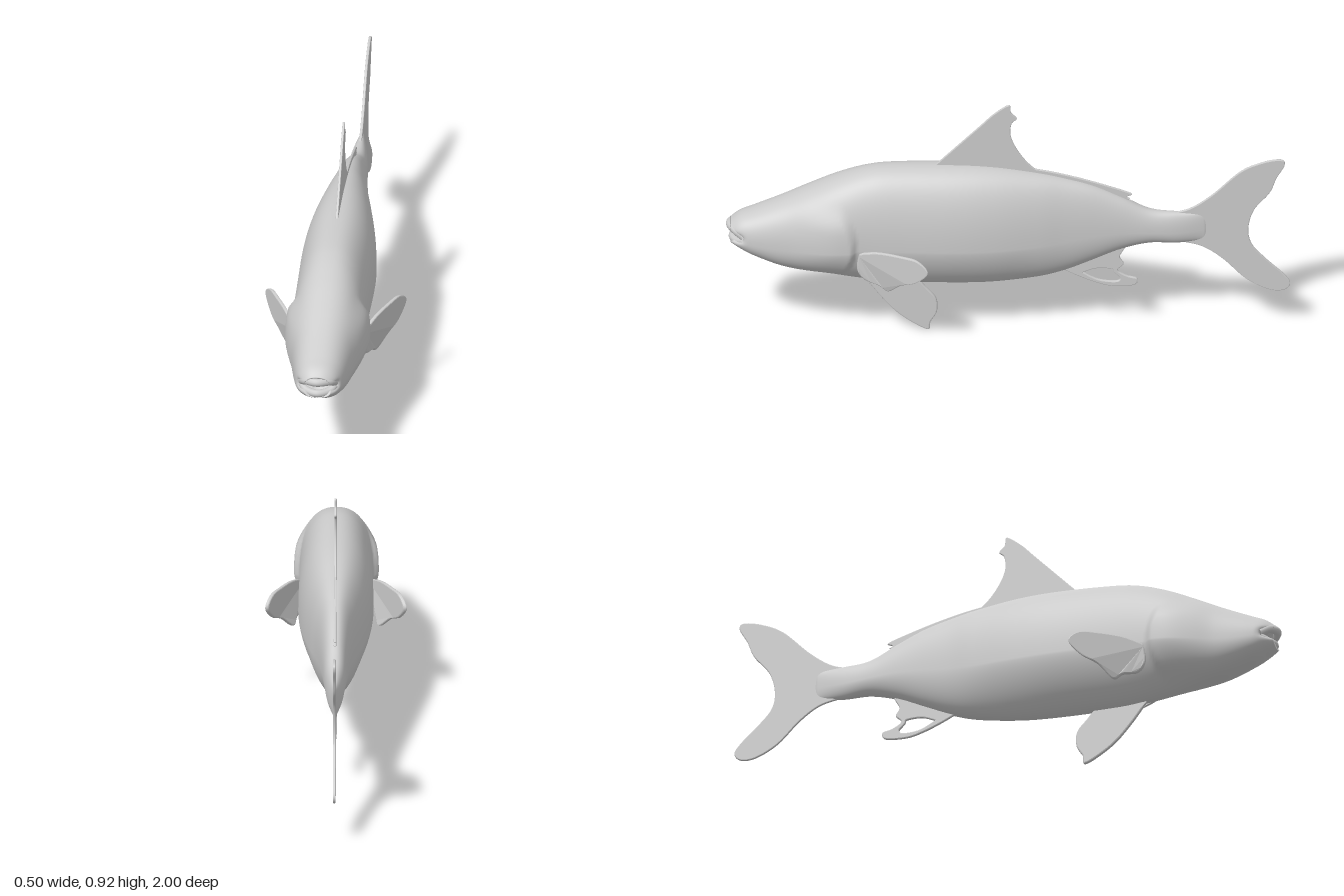
import * as THREE from 'three';

const material = new THREE.MeshStandardMaterial({ color: 0xcccccc, roughness: 0.8, side: THREE.DoubleSide });

function add(group, name, geometry) {
  const mesh = new THREE.Mesh(geometry, material);
  mesh.name = name;
  group.add(mesh);
  return mesh;
}

// Stations from nose to tail: z, top y, bottom y, half width
const STATIONS = [
  [0.985, 0.455, 0.375, 0.052], [0.95, 0.48, 0.353, 0.073], [0.9, 0.5, 0.325, 0.088],
  [0.8, 0.542, 0.283, 0.107], [0.7, 0.588, 0.257, 0.125], [0.6, 0.632, 0.235, 0.132],
  [0.5, 0.664, 0.217, 0.13], [0.4, 0.676, 0.206, 0.131], [0.2, 0.677, 0.2, 0.133],
  [0.05, 0.668, 0.203, 0.121], [-0.1, 0.645, 0.222, 0.095], [-0.2, 0.622, 0.25, 0.074],
  [-0.3, 0.592, 0.292, 0.058], [-0.4, 0.545, 0.335, 0.046], [-0.5, 0.494, 0.36, 0.037],
  [-0.6, 0.482, 0.358, 0.026], [-0.7, 0.475, 0.37, 0.005],
];

function bodyGeometry() {
  const path = (f) => new THREE.CatmullRomCurve3(STATIONS.map(f), false, 'catmullrom');
  const outline = path((s) => new THREE.Vector3(s[0], s[1], s[2]));
  const widths = path((s) => new THREE.Vector3(s[3], 0, 0));
  const rings = 170, sides = 72, positions = [], index = [];
  const smooth = THREE.MathUtils.smoothstep;
  const power = (v, n) => Math.sign(v) * Math.pow(Math.abs(v), 2 / n);

  // First and last rings collapse to close the ends
  for (let i = -1; i <= rings + 1; i++) {
    const t = THREE.MathUtils.clamp(i / rings, 0, 1);
    const { x: z0, y: top, z: bottom } = outline.getPoint(t);
    const w = widths.getPoint(t).x;
    const mid = bottom + 0.4 * (top - bottom);
    const size = i < 0 || i > rings ? 0 : 1;
    const keel = 1.6 + 0.6 * smooth(z0, 0.6, 0.85) + 0.4 * (1 - smooth(z0, -0.3, 0));
    for (let j = 0; j < sides; j++) {
      const a = (j / sides) * Math.PI * 2, s = Math.sin(a), c = Math.cos(a);
      const n = c >= 0 ? 2.3 : keel;
      let x = size * w * power(s, n);
      const y = mid + size * (c >= 0 ? top - mid : mid - bottom) * power(c, n);
      let z = i < 0 ? 0.93 : z0;
      // Gill cover: a raised plate with a sharp curved rear edge
      const edge = 0.545 + 2.5 * (y - 0.41) ** 2;
      const plate = smooth(z, edge - 0.01, edge + 0.012) * (1 - smooth(z, 0.6, 0.78))
        * smooth(y, 0.25, 0.31) * (1 - smooth(y, 0.48, 0.57));
      x += Math.sign(s) * 0.018 * plate * Math.abs(s);
      // Mouth: a notch between the jaws
      const notch = Math.exp(-(((y - 0.411) / 0.014) ** 2));
      x *= 1 - 0.22 * notch * smooth(z, 0.92, 0.97);
      if (i >= 0) z -= 0.045 * notch * smooth(z, 0.93, 0.985);
      positions.push(x, y, z);
    }
  }
  for (let i = 0; i < rings + 2; i++) {
    for (let j = 0; j < sides; j++) {
      const k = (j + 1) % sides;
      const a = i * sides + j, b = i * sides + k, c = a + sides, d = b + sides;
      index.push(a, b, c, b, d, c);
    }
  }
  const g = new THREE.BufferGeometry();
  g.setAttribute('position', new THREE.Float32BufferAttribute(positions, 3));
  g.setIndex(index);
  g.computeVertexNormals();
  return g;
}

// Thin plate from a smooth outline of [z, y] points
function finGeometry(points, thickness, hole) {
  const v = (list) => list.map((p) => new THREE.Vector2(p[0], p[1]));
  const trace = (path, list) => {
    const p = v(list);
    path.moveTo(p[0].x, p[0].y);
    path.splineThru([...p.slice(1), p[0]]);
    return path;
  };
  const shape = trace(new THREE.Shape(), points);
  if (hole) shape.holes.push(trace(new THREE.Path(), hole));
  const bevel = thickness * 0.3;
  const g = new THREE.ExtrudeGeometry(shape, {
    depth: thickness - 2 * bevel, curveSegments: 70, bevelEnabled: true,
    bevelThickness: bevel, bevelSize: bevel, bevelOffset: -bevel, bevelSegments: 2,
  });
  g.translate(0, 0, bevel - thickness / 2);
  return g.rotateY(-Math.PI / 2);
}

const TAIL = [
  [-0.56, 0.475], [-0.64, 0.495], [-0.72, 0.55], [-0.82, 0.645], [-0.9, 0.684], [-0.965, 0.695],
  [-0.978, 0.672], [-0.95, 0.62], [-0.925, 0.56], [-0.87, 0.49], [-0.85, 0.415], [-0.862, 0.35],
  [-0.91, 0.292], [-0.975, 0.228], [-0.998, 0.19], [-0.975, 0.163], [-0.92, 0.166],
  [-0.84, 0.21], [-0.76, 0.29], [-0.69, 0.34], [-0.62, 0.36], [-0.56, 0.37],
];
const DORSAL = [
  [0.27, 0.665], [0.245, 0.69], [0.19, 0.745], [0.1, 0.835], [0.05, 0.885], [-0.002, 0.92],
  [-0.01, 0.89], [-0.03, 0.865], [-0.012, 0.845], [-0.008, 0.8], [-0.025, 0.75], [-0.06, 0.695],
  [-0.1, 0.655], [-0.15, 0.62], [0.05, 0.62], [0.2, 0.64],
];
const RIDGE = [
  [-0.06, 0.665], [-0.15, 0.648], [-0.25, 0.622], [-0.35, 0.59], [-0.435, 0.558], [-0.42, 0.545],
  [-0.43, 0.535], [-0.38, 0.53], [-0.25, 0.58], [-0.1, 0.62],
];
const ANAL = [
  [-0.17, 0.262], [-0.24, 0.225], [-0.31, 0.195], [-0.37, 0.18], [-0.445, 0.184], [-0.456, 0.21],
  [-0.42, 0.222], [-0.388, 0.245], [-0.408, 0.27], [-0.395, 0.3], [-0.412, 0.345], [-0.35, 0.35],
  [-0.25, 0.3],
];
const ANAL_HOLE = [
  [-0.265, 0.236], [-0.31, 0.252], [-0.365, 0.25], [-0.375, 0.235], [-0.395, 0.212],
  [-0.38, 0.2], [-0.32, 0.207],
];
const PELVIC = [
  [0.51, 0.22], [0.46, 0.15], [0.4, 0.08], [0.34, 0.033], [0.283, 0.004], [0.275, 0.035],
  [0.253, 0.075], [0.255, 0.13], [0.29, 0.175], [0.33, 0.215], [0.42, 0.24],
];
const PECTORAL = [
  [0.53, 0.385], [0.46, 0.408], [0.38, 0.415], [0.32, 0.412], [0.285, 0.375], [0.325, 0.325],
  [0.38, 0.295], [0.425, 0.25], [0.46, 0.268], [0.51, 0.28], [0.535, 0.32],
];

// Paired side fin, sweeping outward towards the rear
function pectoralGeometry(side) {
  const g = finGeometry(PECTORAL, 0.014);
  const p = g.attributes.position;
  for (let i = 0; i < p.count; i++) {
    const y = p.getY(i), z = p.getZ(i);
    const spread = 0.123 + (0.53 - z) * 0.5 - Math.max(0, 0.31 - y) * 0.35;
    p.setX(i, p.getX(i) + side * spread);
  }
  g.computeVertexNormals();
  return g;
}

// Rounded lip following the front of a jaw
function lipGeometry(y, front, radius, corner) {
  const points = [[-0.058, corner, 0.935], [-0.042, (y + corner) / 2 + (y - corner) * 0.3, front - 0.02],
    [0, y, front], [0.042, (y + corner) / 2 + (y - corner) * 0.3, front - 0.02], [0.058, corner, 0.935]];
  const curve = new THREE.CatmullRomCurve3(points.map((p) => new THREE.Vector3(...p)));
  return new THREE.TubeGeometry(curve, 32, radius, 12);
}

export function createModel() {
  const fish = new THREE.Group();
  fish.name = 'fish';
  add(fish, 'body', bodyGeometry());
  add(fish, 'upperLip', lipGeometry(0.438, 0.985, 0.015, 0.415));
  add(fish, 'lowerLip', lipGeometry(0.388, 0.976, 0.014, 0.4));
  add(fish, 'tailFin', finGeometry(TAIL, 0.01));
  add(fish, 'dorsalFin', finGeometry(DORSAL, 0.009));
  add(fish, 'dorsalRidge', finGeometry(RIDGE, 0.009));
  add(fish, 'analFin', finGeometry(ANAL, 0.012, ANAL_HOLE));
  add(fish, 'pelvicFin', finGeometry(PELVIC, 0.016));
  for (const [name, side] of [['leftPectoralFin', 1], ['rightPectoralFin', -1]]) {
    add(fish, name, pectoralGeometry(side));
  }
  return fish;
}
